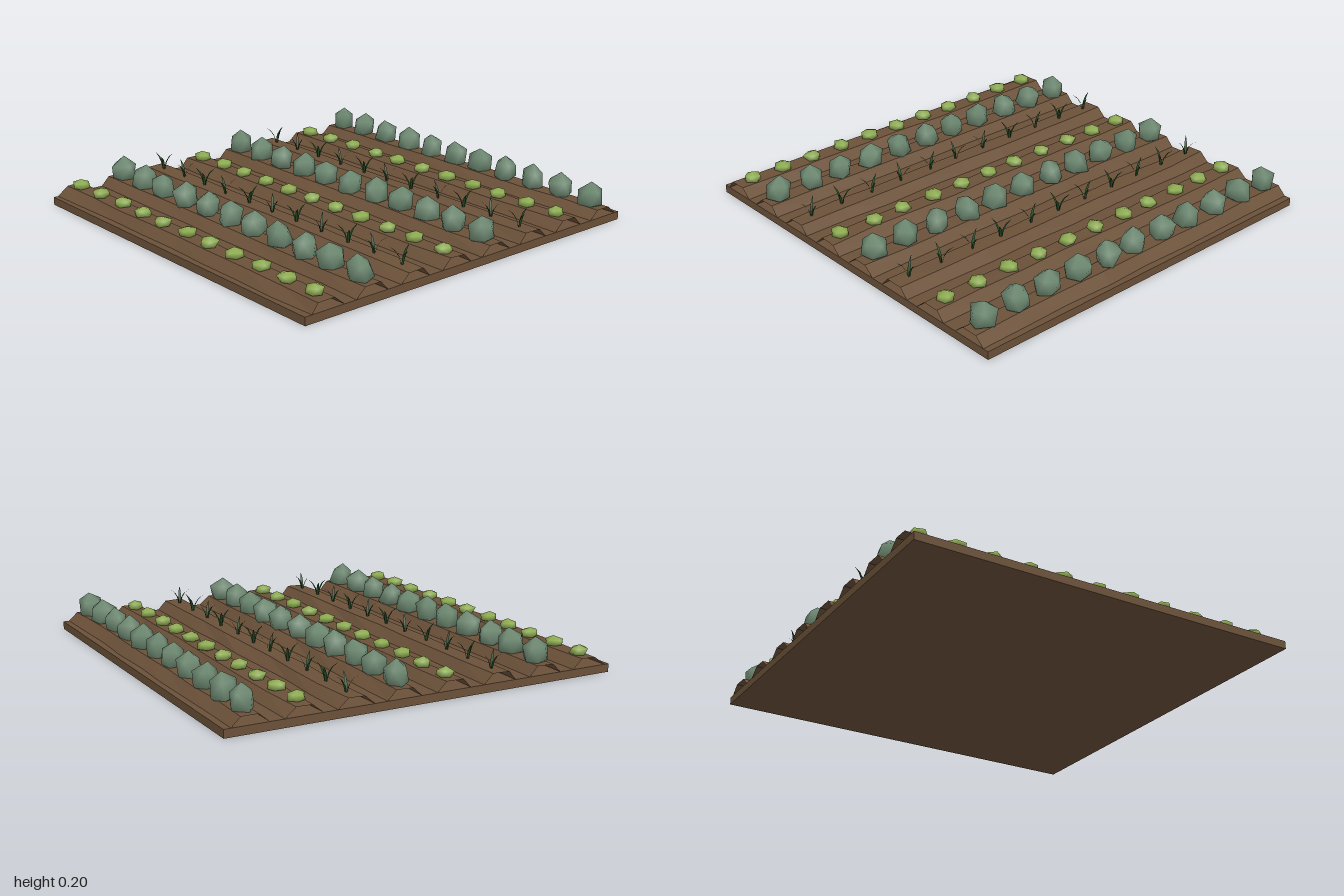
import * as THREE from 'three';
import { mergeVertices } from 'three/addons/utils/BufferGeometryUtils.js';

const mat = (name, color, side = THREE.FrontSide) => {
  const m = new THREE.MeshStandardMaterial({ color, side });
  m.name = name;
  return m;
};

// Small seeded random, returns -1..1
let seed = 7;
const jitter = () => {
  seed = (seed * 16807) % 2147483647;
  return (seed / 2147483647) * 2 - 1;
};

// Icosahedron with a vertex at the top, lumpy and smooth shaded
function lumpyBall(rx, ry, amount) {
  let g = new THREE.IcosahedronGeometry(1, 0);
  g.rotateX(-Math.atan((1 + Math.sqrt(5)) / 2));
  g.deleteAttribute('uv');
  g.deleteAttribute('normal');
  g = mergeVertices(g, 1e-3);
  g.rotateY(jitter() * Math.PI);
  const p = g.attributes.position;
  for (let i = 0; i < p.count; i++) {
    p.setXYZ(i,
      (p.getX(i) + jitter() * amount) * rx,
      (p.getY(i) + jitter() * amount * 0.3) * ry,
      (p.getZ(i) + jitter() * amount) * rx);
  }
  g.computeVertexNormals();
  return g;
}

// Open soil ridge: a wavering trapezoid section swept along z
function ridgeGeometry() {
  const section = [[-0.088, 0.04], [-0.043, 0.084], [0.043, 0.084], [0.088, 0.04]];
  const steps = 8, pos = [], idx = [];
  for (let i = 0; i <= steps; i++) {
    section.forEach(([x, y], k) => {
      const top = k === 1 || k === 2;
      pos.push(x + jitter() * 0.007, y + (top ? jitter() * 0.003 : 0), -1 + (2 * i) / steps);
    });
  }
  for (let i = 0; i < steps; i++) {
    for (let k = 0; k < 3; k++) {
      const a = i * 4 + k, b = a + 4;
      idx.push(a, b, a + 1, a + 1, b, b + 1);
    }
  }
  let g = new THREE.BufferGeometry();
  g.setAttribute('position', new THREE.Float32BufferAttribute(pos, 3));
  g.setIndex(idx);
  g = g.toNonIndexed();
  g.computeVertexNormals();
  return g;
}

// Tapered leaf blade leaning out along +x
function bladeGeometry() {
  const path = [[0.004, 0, 0.005], [0.013, 0.035, 0.007], [0.03, 0.062, 0.005], [0.055, 0.08, 0.0005]];
  const pos = [], idx = [];
  path.forEach(([x, y, w], i) => {
    pos.push(x, y, -w, x, y, w);
    if (i) {
      const a = i * 2 - 2;
      idx.push(a, a + 1, a + 2, a + 1, a + 3, a + 2);
    }
  });
  const g = new THREE.BufferGeometry();
  g.setAttribute('position', new THREE.Float32BufferAttribute(pos, 3));
  g.setIndex(idx);
  g.computeVertexNormals();
  return g;
}

export function createModel() {
  const group = new THREE.Group();
  group.name = 'vegetableField';
  const soil = mat('soil brown', 0x6b5139, THREE.DoubleSide);
  const cabbageGreen = mat('cabbage grey green', 0x6f8b73);
  const lettuceGreen = mat('lettuce light green', 0x8fad52);
  const leekGreen = mat('leek dark green', 0x234a22, THREE.DoubleSide);

  const add = (parent, name, geometry, material) => {
    const mesh = new THREE.Mesh(geometry, material);
    mesh.name = name;
    parent.add(mesh);
    return mesh;
  };

  // Flat soil slab
  add(group, 'soilBed', new THREE.BoxGeometry(2, 0.04, 2), soil).position.y = 0.02;

  const blade = bladeGeometry();
  const plants = [
    // Lettuce: low flattened head
    (row) => {
      const m = add(row, 'lettuce', lumpyBall(0.046, 0.03, 0.13), lettuceGreen);
      m.position.y = 0.101;
      return m;
    },
    // Cabbage: large rounded head
    (row) => {
      const m = add(row, 'cabbage', lumpyBall(0.067, 0.075, 0.16), cabbageGreen);
      m.position.y = 0.126;
      return m;
    },
    // Leek: three blades fanning outward
    (row, i) => {
      const leek = new THREE.Group();
      leek.name = 'leek';
      for (let k = 0; k < 3; k++) {
        add(leek, 'leekBlade', blade, leekGreen).rotation.y = (k * Math.PI * 2) / 3;
      }
      leek.rotation.y = (i % 2) * Math.PI + jitter() * 0.3;
      leek.position.y = 0.084;
      row.add(leek);
      return leek;
    },
  ];

  // Eight ridges, each planted with eleven of one crop
  for (let r = 0; r < 8; r++) {
    const row = new THREE.Group();
    row.name = 'cropRow';
    row.position.x = -0.88 + r * 0.251;
    add(row, 'soilRidge', ridgeGeometry(), soil);
    for (let i = 0; i < 11; i++) {
      const plant = plants[r % 3](row, i);
      plant.position.x = jitter() * 0.004;
      plant.position.z = -0.92 + i * 0.1836 + jitter() * 0.006;
    }
    group.add(row);
  }
  return group;
}
